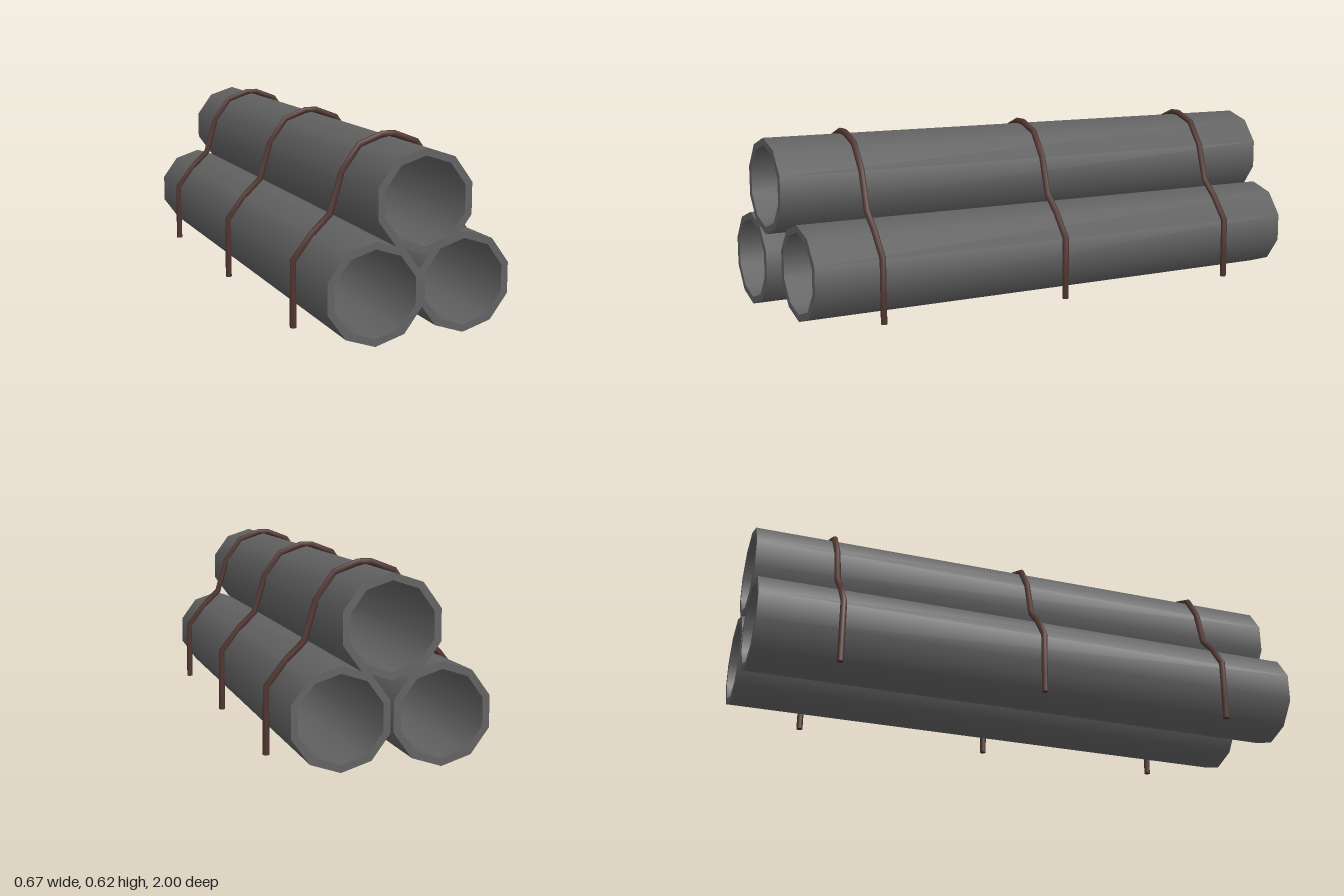
import * as THREE from 'three';
import { mergeGeometries } from 'three/addons/utils/BufferGeometryUtils.js';

const OUTER = 0.164, INNER = 0.14, STRAP = 0.0115;

// Ten-sided hollow pipe along z; separate strips keep the rims sharp
function pipeGeometry(zBack, zFront) {
  const ring = [[OUTER, zBack], [OUTER, zFront], [INNER, zFront], [INNER, zBack]]
    .map(([r, z]) => new THREE.Vector2(r, z));
  const strips = ring.map((p, i) => new THREE.LatheGeometry([p, ring[(i + 1) % 4]], 10));
  return mergeGeometries(strips).rotateX(Math.PI / 2);
}

// Polyline that places one tube ring, mitred, at each corner
class Polyline extends THREE.Curve {
  constructor(points) {
    super();
    this.points = points;
  }
  getPoint(t, target = new THREE.Vector3()) {
    const n = this.points.length - 1;
    const i = Math.min(Math.floor(t * n + 1e-6), n - 1);
    return target.lerpVectors(this.points[i], this.points[i + 1], t * n - i);
  }
  getPointAt(t, target) {
    return this.getPoint(t, target);
  }
  getTangentAt(t, target = new THREE.Vector3()) {
    const p = this.points, n = p.length - 1, i = Math.round(t * n);
    const dir = (a) => p[a + 1].clone().sub(p[a]).normalize();
    return target.copy(dir(Math.max(i - 1, 0))).add(dir(Math.min(i, n - 1))).normalize();
  }
}

// Strap draped over the stack, mirrored about x = 0
function strapGeometry() {
  const half = [[0.325, 0], [0.325, 0.08], [0.324, 0.221], [0.259, 0.305], [0.2, 0.362],
    [0.161, 0.494], [0.1, 0.581], [0.021, 0.611]];
  const mirrored = half.map(([x, y]) => [-x, y]).reverse();
  const points = [...half, ...mirrored].map(([x, y]) => new THREE.Vector3(x, y, 0));
  const parts = [new THREE.TubeGeometry(new Polyline(points), points.length - 1, STRAP, 8)];
  for (const x of [-0.325, 0.325]) {
    parts.push(new THREE.CircleGeometry(STRAP, 8).rotateX(Math.PI / 2).translate(x, 0, 0));
  }
  return mergeGeometries(parts);
}

export function createModel() {
  const model = new THREE.Group();
  model.name = 'pipeStack';
  const grey = new THREE.MeshStandardMaterial({ name: 'pipe grey', color: 0x616161 });
  const brown = new THREE.MeshStandardMaterial({ name: 'strap brown', color: 0x4e342e });

  // Three stacked pipes, the lower left one a little shorter at the front
  const pipes = [
    ['topPipe', 0, 0.441, 1],
    ['lowerRightPipe', -0.162, 0.165, 1],
    ['lowerLeftPipe', 0.16, 0.165, 0.95],
  ];
  for (const [name, x, y, front] of pipes) {
    const pipe = new THREE.Mesh(pipeGeometry(-1, front), grey);
    pipe.name = name;
    pipe.position.set(x, y, 0);
    model.add(pipe);
  }

  // Three tie-down straps
  const strap = strapGeometry();
  [['frontStrap', 0.715], ['middleStrap', 0.005], ['backStrap', -0.717]].forEach(([name, z]) => {
    const mesh = new THREE.Mesh(strap, brown);
    mesh.name = name;
    mesh.position.z = z;
    model.add(mesh);
  });

  return model;
}
